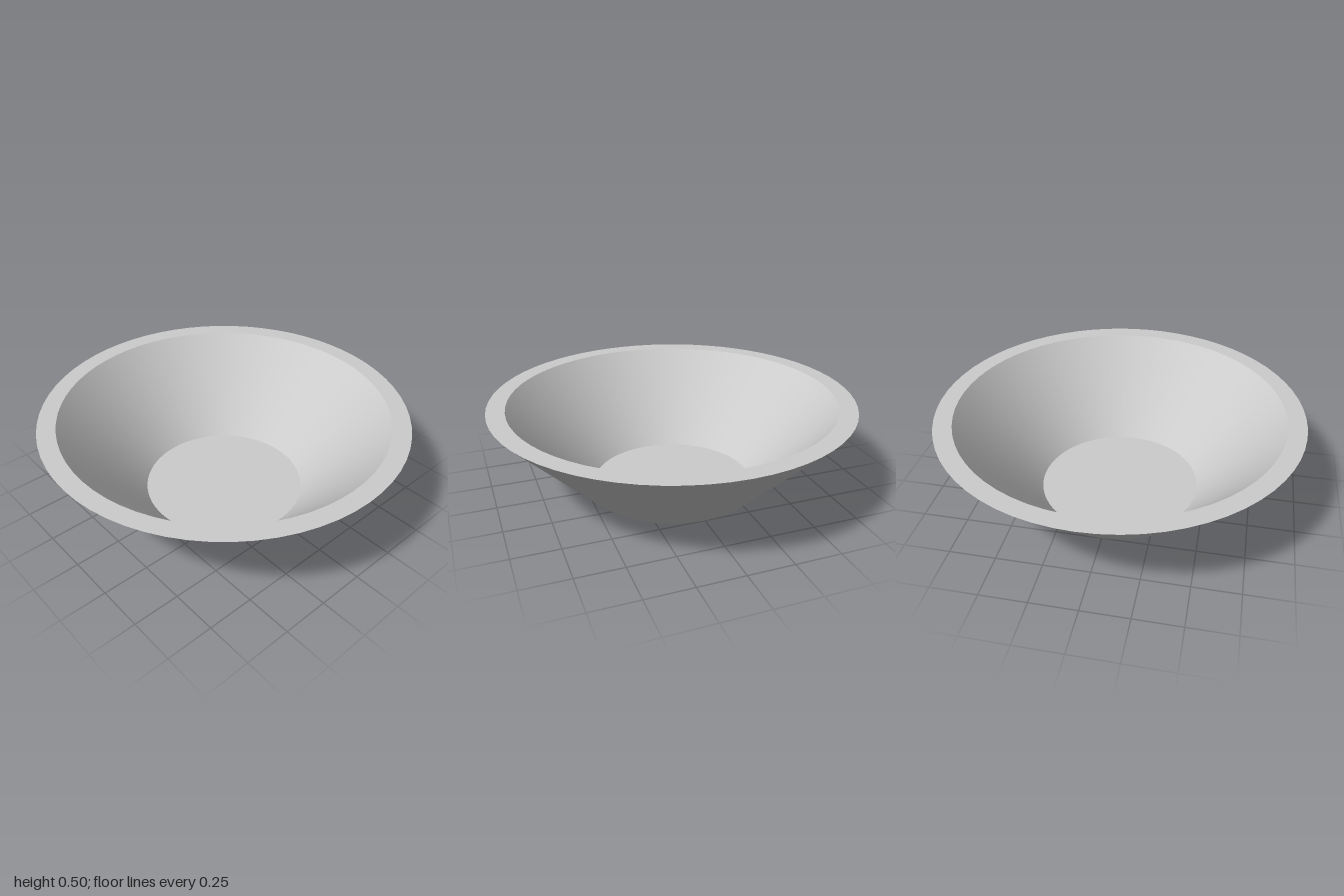
import * as THREE from 'three';

const SEGMENTS = 64;

export function createModel() {
  const bowl = new THREE.Group();
  bowl.name = 'bowl';
  const material = new THREE.MeshStandardMaterial({ color: 0xcccccc });
  const thinMaterial = new THREE.MeshStandardMaterial({ color: 0xcccccc, side: THREE.DoubleSide });

  // Each ring of the bowl is its own lathe, so the edges between them stay sharp
  const ring = (name, r0, y0, r1, y1, ringMaterial = material) => {
    const profile = [new THREE.Vector2(r0, y0), new THREE.Vector2(r1, y1)];
    const mesh = new THREE.Mesh(new THREE.LatheGeometry(profile, SEGMENTS), ringMaterial);
    mesh.name = name;
    bowl.add(mesh);
  };

  // The thin base is also the floor inside
  ring('base', 0, 0, 0.5, 0, thinMaterial);
  ring('outerWall', 0.5, 0, 1, 0.5);
  ring('rim', 1, 0.5, 0.9, 0.5);
  ring('innerWall', 0.9, 0.5, 0.45, 0);

  return bowl;
}
